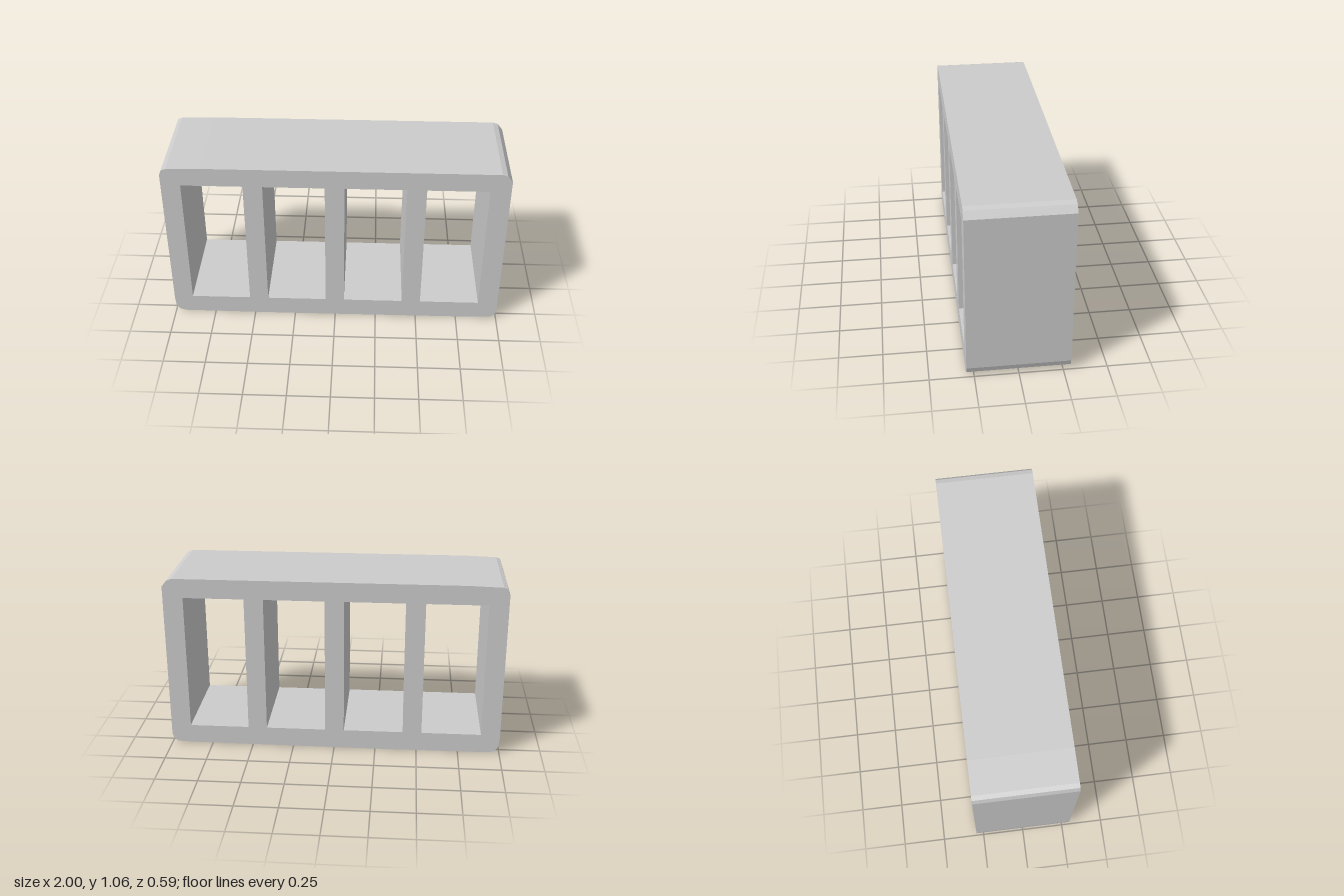
import * as THREE from 'three';

export function createModel() {
  const group = new THREE.Group();
  const grey = new THREE.MeshStandardMaterial({ color: 0xcccccc });
  grey.name = 'light grey';
  const depth = 0.586;

  // Outer outline with slightly uneven faceted corners, counter-clockwise
  const outline = [
    [-0.94, 0.003], [-0.3, 0], [0.84, 0.004], [0.965, 0.008], [0.99, 0.027], [1, 0.06],
    [1, 1.012], [0.97, 1.05], [0.94, 1.06],
    [-0.77, 1.06], [-0.963, 1.054], [-0.988, 1.045], [-1, 1.012],
    [-1, 0.1], [-0.995, 0.045], [-0.975, 0.014],
  ];
  const shape = new THREE.Shape(outline.map(([x, y]) => new THREE.Vector2(x, y)));

  // Four equal openings that pass right through
  const width = 0.357, bottom = 0.119, top = 0.945, pitch = 0.47;
  for (let i = 0; i < 4; i++) {
    const left = -0.886 + i * pitch, right = left + width;
    shape.holes.push(new THREE.Path([
      new THREE.Vector2(left, bottom), new THREE.Vector2(left, top),
      new THREE.Vector2(right, top), new THREE.Vector2(right, bottom),
    ]));
  }

  const geometry = new THREE.ExtrudeGeometry(shape, { depth, bevelEnabled: false });
  geometry.translate(0, 0, -depth / 2);
  const frame = new THREE.Mesh(geometry, grey);
  frame.name = 'shelfFrame';
  group.add(frame);
  return group;
}
